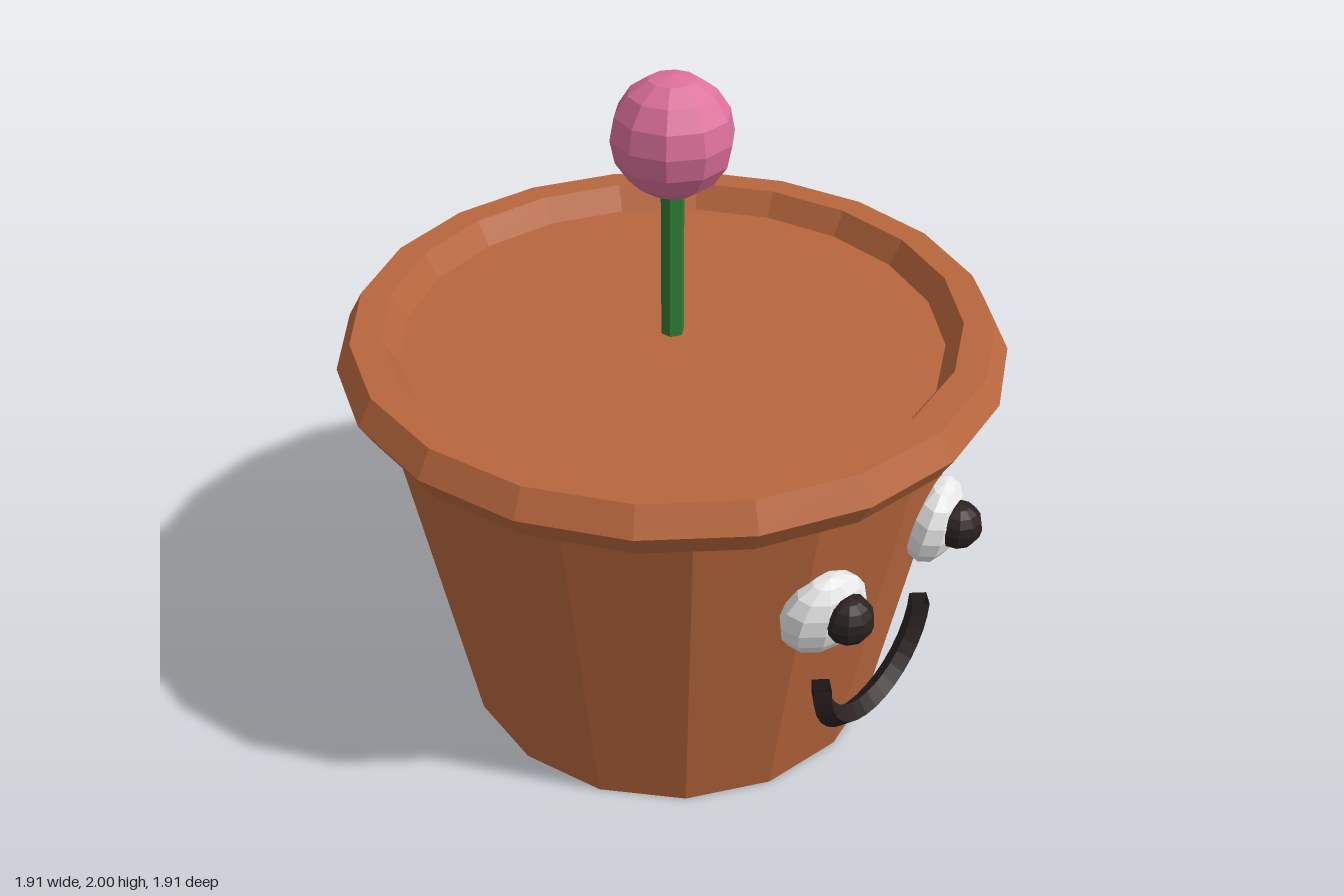
import * as THREE from 'three';

function mat(name, color, extra = {}) {
  const m = new THREE.MeshStandardMaterial({ color, flatShading: true, ...extra });
  m.name = name;
  return m;
}

export function createModel() {
  const model = new THREE.Group();
  model.name = 'pottedFlower';

  const terracotta = mat('terracotta', 0xb8673d);
  const green = mat('green', 0x2f7d32);
  const pink = mat('pink', 0xdd709b);
  const white = mat('white', 0xf0f0f0);
  const black = mat('black', 0x2a2120, { side: THREE.DoubleSide });

  const add = (name, geometry, material, x, y, z) => {
    const mesh = new THREE.Mesh(geometry, material);
    mesh.name = name;
    mesh.position.set(x, y, z);
    model.add(mesh);
    return mesh;
  };

  // Tapered pot, closed at the top by the soil level, with a six-sided rim ring
  add('pot', new THREE.CylinderGeometry(0.867, 0.667, 1.22, 16), terracotta, 0, 0.61, 0);
  add('rim', new THREE.TorusGeometry(0.867, 0.0867, 6, 20), terracotta, 0, 1.22, 0)
    .rotation.x = Math.PI / 2;

  // Flower
  add('stem', new THREE.CylinderGeometry(0.034, 0.034, 0.5, 6), green, 0, 1.46, 0);
  add('blossom', new THREE.SphereGeometry(0.171, 10, 8), pink, 0, 1.829, 0);

  // Flattened eyes follow the slope and curve of the pot
  for (const side of [-1, 1]) {
    const label = side > 0 ? 'left' : 'right';
    const eye = add(label + 'Eye', new THREE.SphereGeometry(0.134, 10, 8), white,
      side * 0.265, 0.782, 0.77);
    eye.scale.z = 0.6;
    eye.rotation.set(0.16, side * 0.33, 0, 'YXZ');
    add(label + 'Pupil', new THREE.SphereGeometry(0.071, 10, 8), black,
      side * 0.263, 0.803, 0.848);
  }

  // Smile: half ring opening upward
  add('mouth', new THREE.TorusGeometry(0.242, 0.036, 4, 16, Math.PI), black, 0, 0.49, 0.768)
    .rotation.z = Math.PI;

  return model;
}
